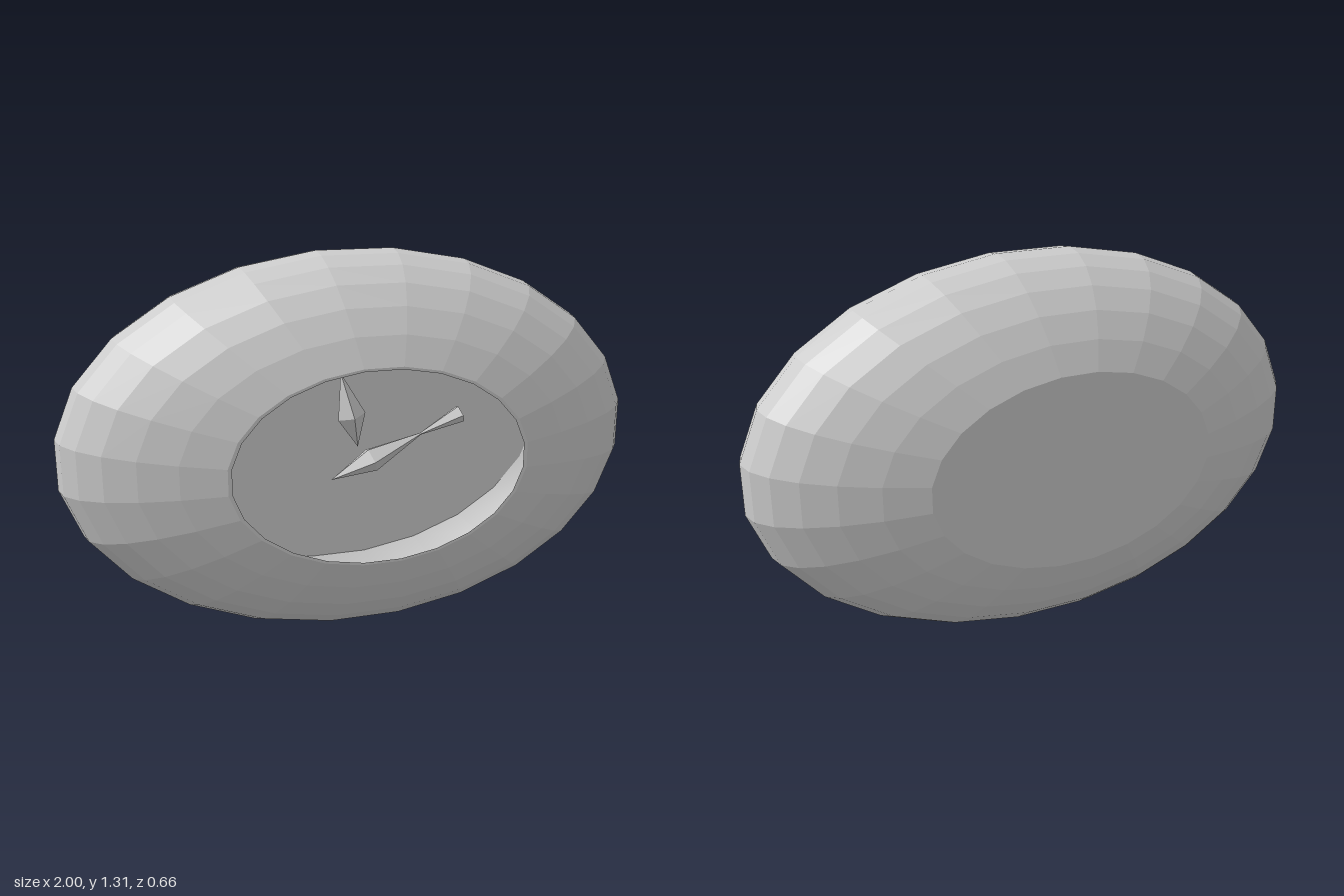
import * as THREE from 'three';

const RX = 1.0087, RY = 0.661, RZ = 0.38, CY = 0.655; // ellipsoid radii and centre height
const SIDES = 24;

// Points on a unit circle from one latitude (degrees) to another
function arc(from, to, steps, scale = 1) {
  return Array.from({ length: steps + 1 }, (_, i) => {
    const a = THREE.MathUtils.degToRad(from + (to - from) * i / steps);
    return new THREE.Vector2(Math.cos(a) * scale, Math.sin(a) * scale);
  });
}

// Turn a unit profile round the z axis and squash it to the ellipsoid
function turned(points) {
  return new THREE.LatheGeometry(points, SIDES, Math.PI / SIDES)
    .rotateX(Math.PI / 2).scale(RX, RY, RZ);
}

function add(group, name, geometry, flat, side = THREE.FrontSide) {
  const mesh = new THREE.Mesh(geometry,
    new THREE.MeshStandardMaterial({ color: 0xcccccc, flatShading: flat, side }));
  mesh.name = name;
  group.add(mesh);
  return mesh;
}

// Pointer: two slim cones meeting at a narrow waist, from tip to end
function pointer(group, name, tip, end, radius) {
  const dir = new THREE.Vector3().subVectors(end, tip);
  const len = dir.length();
  const profile = [[0, 0], [radius, 0.31], [0.004, 0.69], [radius * 0.72, 1], [0, 1]]
    .map(([r, t]) => new THREE.Vector2(r, t * len));
  const mesh = add(group, name, new THREE.LatheGeometry(profile, 5), true);
  mesh.position.copy(tip);
  mesh.quaternion.setFromUnitVectors(new THREE.Vector3(0, 1, 0), dir.normalize());
}

export function createModel() {
  const model = new THREE.Group();
  const body = new THREE.Group();
  body.name = 'body';
  body.position.y = CY;
  model.add(body);

  // Faceted outer shell, cut flat front and back, with a closed back
  add(body, 'shell', turned([new THREE.Vector2(0, -Math.sin(Math.PI / 3)), ...arc(-60, 60, 12)]), true);

  // Thin rim round the front opening
  const lip = Math.sin(Math.PI / 3);
  add(body, 'rim', turned([new THREE.Vector2(0.5, lip), new THREE.Vector2(0.487, lip)]),
    true, THREE.DoubleSide);

  // Hollow inside wall, down to the flat dial
  const wall = arc(60, -36, 10, 0.98);
  wall[0].set(0.487, lip);
  add(body, 'innerWall', turned(wall), false, THREE.DoubleSide);
  const last = wall[wall.length - 1];
  add(body, 'dial', turned([last, new THREE.Vector2(0, last.y)]), true, THREE.DoubleSide);

  // Two pointers floating inside the hollow
  pointer(model, 'shortPointer', new THREE.Vector3(0.01, 0.63, 0.01), new THREE.Vector3(-0.075, 1.0, 0.01), 0.052);
  pointer(model, 'longPointer', new THREE.Vector3(-0.06, 0.48, -0.09), new THREE.Vector3(0.43, 0.69, -0.09), 0.046);

  return model;
}
